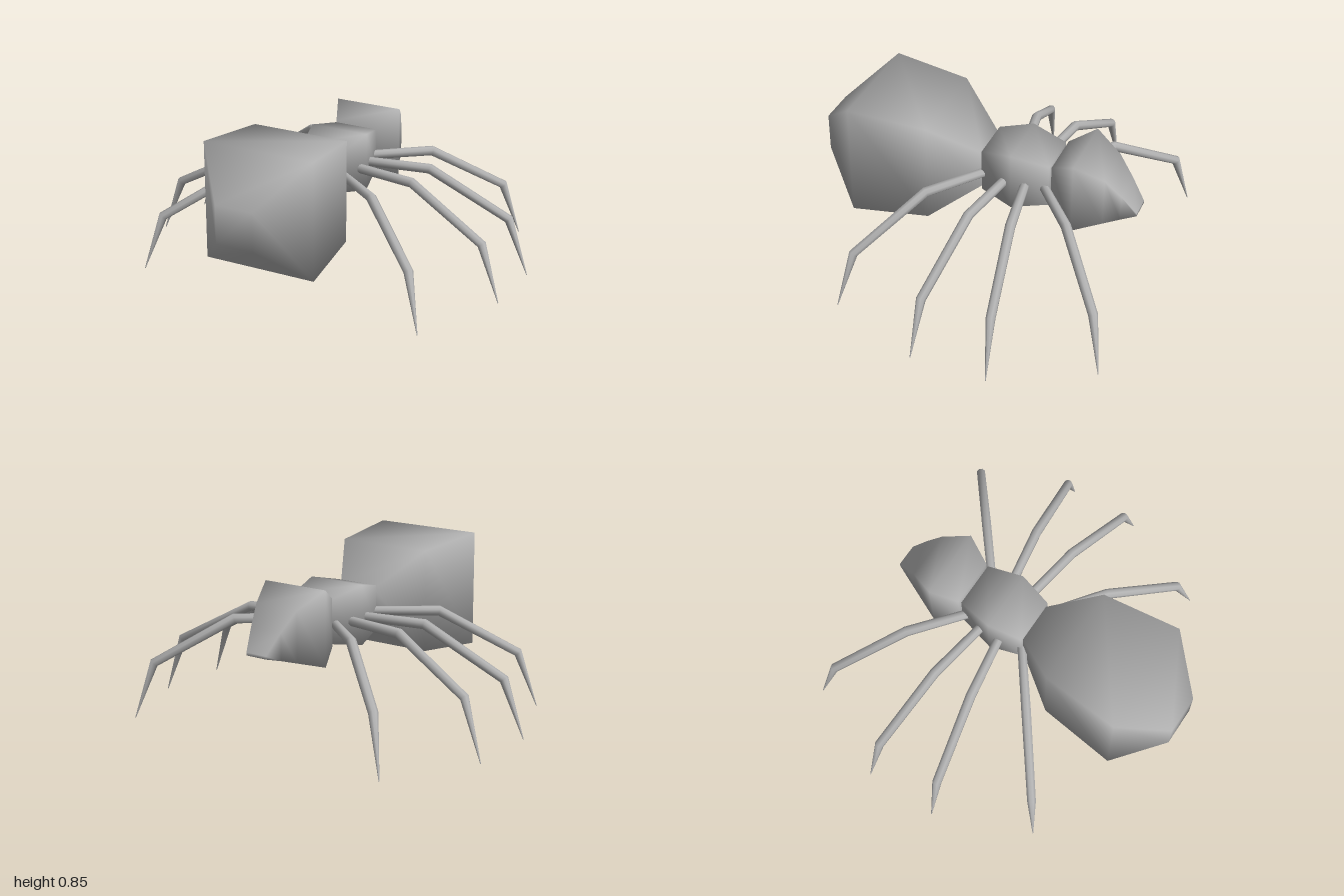
import * as THREE from 'three';

const grey = new THREE.MeshStandardMaterial({ color: 0xb0b0b0 });
grey.name = 'grey';

// Skin a list of equal-length rings (counterclockwise about the direction of travel) and cap both ends
function loft(rings) {
  const n = rings[0].length;
  const last = (rings.length - 1) * n;
  const index = [];
  for (let i = 0; i < rings.length - 1; i++) {
    for (let j = 0; j < n; j++) {
      const a = i * n + j, b = i * n + (j + 1) % n;
      index.push(a, b, b + n, a, b + n, a + n);
    }
  }
  for (let j = 1; j < n - 1; j++) {
    index.push(0, j + 1, j, last, last + j, last + j + 1);
  }
  const geometry = new THREE.BufferGeometry().setFromPoints(rings.flat());
  geometry.setIndex(index);
  geometry.computeVertexNormals();
  return geometry;
}

// Square-sectioned body part from [z, half width, bottom, top]
function bodyPart(name, sections) {
  const rings = sections.map(([z, w, lo, hi]) => [
    new THREE.Vector3(-w, lo, z), new THREE.Vector3(w, lo, z),
    new THREE.Vector3(w, hi, z), new THREE.Vector3(-w, hi, z),
  ]);
  const mesh = new THREE.Mesh(loft(rings), grey);
  mesh.name = name;
  return mesh;
}

// Jointed leg running straight out in plan from root to tip
function leg(name, side, { root, tip, tipY }) {
  const start = new THREE.Vector3(side * root[0], 0, root[1]);
  const end = new THREE.Vector3(side * tip[0], 0, tip[1]);
  const joints = [[0, 0.525, 0.024], [0.41, 0.525, 0.026], [0.88, 0.3, 0.024], [1, tipY, 0.002]];
  const points = joints.map(([t, y]) => start.clone().lerp(end, t).setY(y));
  const heading = end.clone().sub(start).normalize();
  const across = new THREE.Vector3(0, 1, 0).cross(heading).normalize();
  const sides = 8;
  const rings = points.map((p, i) => {
    const tangent = new THREE.Vector3();
    if (i > 0) tangent.add(p.clone().sub(points[i - 1]).normalize());
    if (i < points.length - 1) tangent.add(points[i + 1].clone().sub(p).normalize());
    tangent.normalize();
    const up = tangent.clone().cross(across);
    const r = joints[i][2];
    return Array.from({ length: sides }, (_, k) => {
      const a = (k + 0.5) / sides * Math.PI * 2;
      return p.clone().addScaledVector(across, r * Math.cos(a)).addScaledVector(up, r * Math.sin(a));
    });
  });
  const mesh = new THREE.Mesh(loft(rings), grey);
  mesh.name = name;
  return mesh;
}

export function createModel() {
  const model = new THREE.Group();
  model.name = 'insect';

  // Body
  model.add(
    bodyPart('abdomen', [
      [0, 0.105, 0.44, 0.64], [0.24, 0.26, 0.28, 0.815],
      [0.65, 0.3, 0.24, 0.85], [0.875, 0.1, 0.44, 0.64],
    ]),
    bodyPart('thorax', [
      [-0.365, 0.12, 0.43, 0.66], [-0.175, 0.16, 0.39, 0.7], [-0.002, 0.12, 0.43, 0.66],
    ]),
    bodyPart('head', [
      [-0.81, 0.06, 0.445, 0.46], [-0.735, 0.092, 0.425, 0.565], [-0.655, 0.125, 0.4, 0.66],
      [-0.51, 0.185, 0.355, 0.74], [-0.378, 0.125, 0.42, 0.665],
    ]),
  );

  // Four legs on each side
  const legs = {
    FrontLeg: { root: [0.09, -0.02], tip: [0.785, 0.51], tipY: 0.01 },
    MiddleFrontLeg: { root: [0.1, -0.135], tip: [0.995, 0.01], tipY: 0.01 },
    MiddleBackLeg: { root: [0.1, -0.235], tip: [0.995, -0.385], tipY: 0 },
    BackLeg: { root: [0.09, -0.32], tip: [0.76, -0.87], tipY: 0.01 },
  };
  for (const [name, shape] of Object.entries(legs)) {
    model.add(leg('left' + name, 1, shape), leg('right' + name, -1, shape));
  }
  return model;
}
